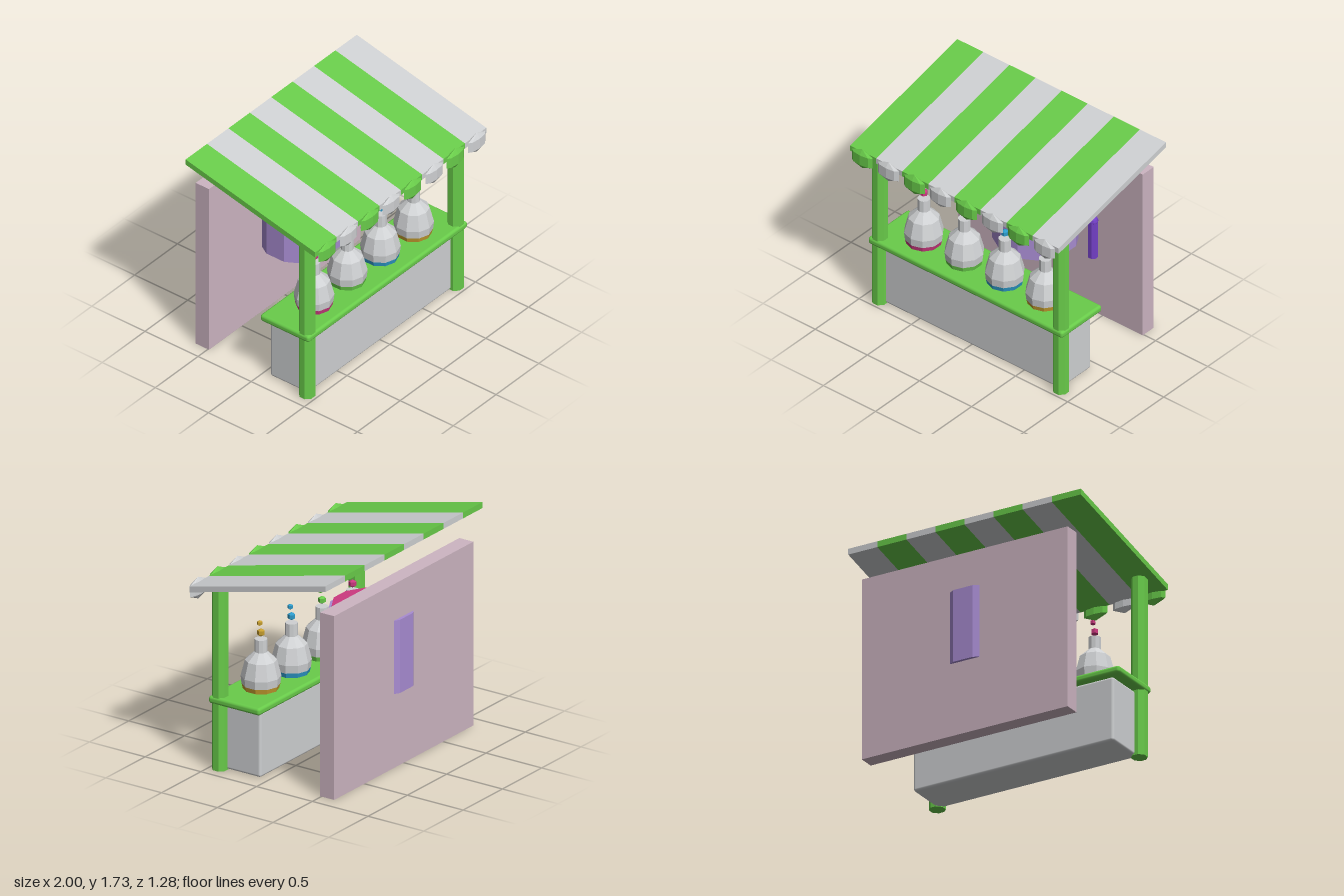
import * as THREE from 'three';
import { RoundedBoxGeometry } from 'three/addons/geometries/RoundedBoxGeometry.js';

const colours = {
  green: 0x69cc4a, grey: 0xcfd1d3, pink: 0xcdb5c2, lilac: 0xa88cd2,
  violet: 0x7440c8, magenta: 0xcc3a80, blue: 0x2e9ccc, gold: 0xc8a030,
};

// Faceted normals for low-poly parts
function facet(geometry) {
  const g = geometry.index ? geometry.toNonIndexed() : geometry;
  g.computeVertexNormals();
  return g;
}

// Regular prism with flat sides facing the axes, sized by its half width
function prism(halfWidth, height, sides) {
  const g = new THREE.CylinderGeometry(1, 1, height, sides);
  const r = halfWidth / Math.cos(Math.PI / sides);
  g.scale(r, 1, r).rotateY(Math.PI / sides);
  return facet(g);
}

function lathe(profile, sides) {
  return facet(new THREE.LatheGeometry(profile.map(([r, y]) => new THREE.Vector2(r, y)), sides));
}

export function createModel() {
  const model = new THREE.Group();
  model.name = 'drinkStall';

  const mats = {};
  for (const [name, hex] of Object.entries(colours)) {
    mats[name] = new THREE.MeshStandardMaterial({ color: hex });
    mats[name].name = name;
  }

  function add(name, geometry, colour, x, y, z, parent = model) {
    const mesh = new THREE.Mesh(geometry, mats[colour]);
    mesh.name = name;
    mesh.position.set(x, y, z);
    parent.add(mesh);
    return mesh;
  }

  // Sloping striped roof with a scallop under the front of each stripe
  const roof = new THREE.Group();
  roof.name = 'roof';
  model.add(roof);
  const slope = 0.2357;
  const stripe = new THREE.BoxGeometry(0.25, 0.047, 1.22);
  const p = stripe.attributes.position;
  for (let i = 0; i < p.count; i++) p.setY(i, p.getY(i) - slope * p.getZ(i));
  const stripeGeo = facet(stripe);
  const scallopGeo = facet(new THREE.SphereGeometry(1, 8, 3).scale(0.116, 0.086, 0.033));
  for (let i = 0; i < 8; i++) {
    const x = -0.875 + i * 0.25;
    const colour = i % 2 ? 'grey' : 'green';
    add('roofStripe', stripeGeo, colour, x, 1.564, -0.007, roof);
    add('roofScallop', scallopGeo, colour, x, 1.39, 0.613, roof);
  }

  // Counter and front posts
  const postGeo = prism(0.058, 1.445, 8);
  for (const side of [-1, 1]) add('post', postGeo, 'green', side * 0.868, 0.7225, 0.42);
  add('counterBase', new RoundedBoxGeometry(1.72, 0.515, 0.355, 3, 0.02), 'grey', 0, 0.2625, 0.2425);
  add('counterTop', new RoundedBoxGeometry(1.865, 0.058, 0.46, 3, 0.022), 'green', 0, 0.553, 0.255);

  // Back wall
  add('backWall', new THREE.BoxGeometry(1.77, 1.455, 0.125), 'pink', 0, 0.7275, -0.5525);

  // Barrel set into the wall, with its lid
  add('barrel', prism(0.3125, 0.58, 12), 'lilac', 0, 0.875, -0.327);
  add('barrelLid', prism(0.287, 0.034, 12), 'magenta', 0, 1.182, -0.327);

  // Spout: a pipe to the side that bends down
  const spout = new THREE.Group();
  spout.name = 'spout';
  model.add(spout);
  add('spoutArm', prism(0.032, 0.25, 8).rotateZ(Math.PI / 2), 'violet', 0.42, 0.972, -0.327, spout);
  add('spoutElbow', facet(new THREE.SphereGeometry(0.041, 8, 6)), 'violet', 0.545, 0.972, -0.327, spout);
  add('spoutDrop', prism(0.037, 0.325, 8), 'violet', 0.545, 0.8125, -0.327, spout);

  // Flasks with a coloured base band and two bubbles above the neck
  const bandGeo = lathe([[0, 0], [0.134, 0], [0.143, 0.037]], 10);
  const glassGeo = lathe([[0.143, 0.037], [0.15, 0.1], [0.118, 0.225], [0.048, 0.29],
    [0.048, 0.389], [0, 0.389]], 10);
  const bigBubble = facet(new THREE.SphereGeometry(0.032, 6, 3));
  const smallBubble = facet(new THREE.SphereGeometry(0.023, 6, 3));
  ['magenta', 'green', 'blue', 'gold'].forEach((colour, i) => {
    const flask = new THREE.Group();
    flask.name = 'flask';
    flask.position.set(-0.584 + i * 0.388, 0.582, 0.257);
    model.add(flask);
    add('flaskBand', bandGeo, colour, 0, 0, 0, flask);
    add('flaskGlass', glassGeo, 'grey', 0, 0, 0, flask);
    add('bigBubble', bigBubble, colour, 0, 0.438, 0, flask);
    add('smallBubble', smallBubble, colour, 0.016, 0.518, 0, flask);
  });

  return model;
}
